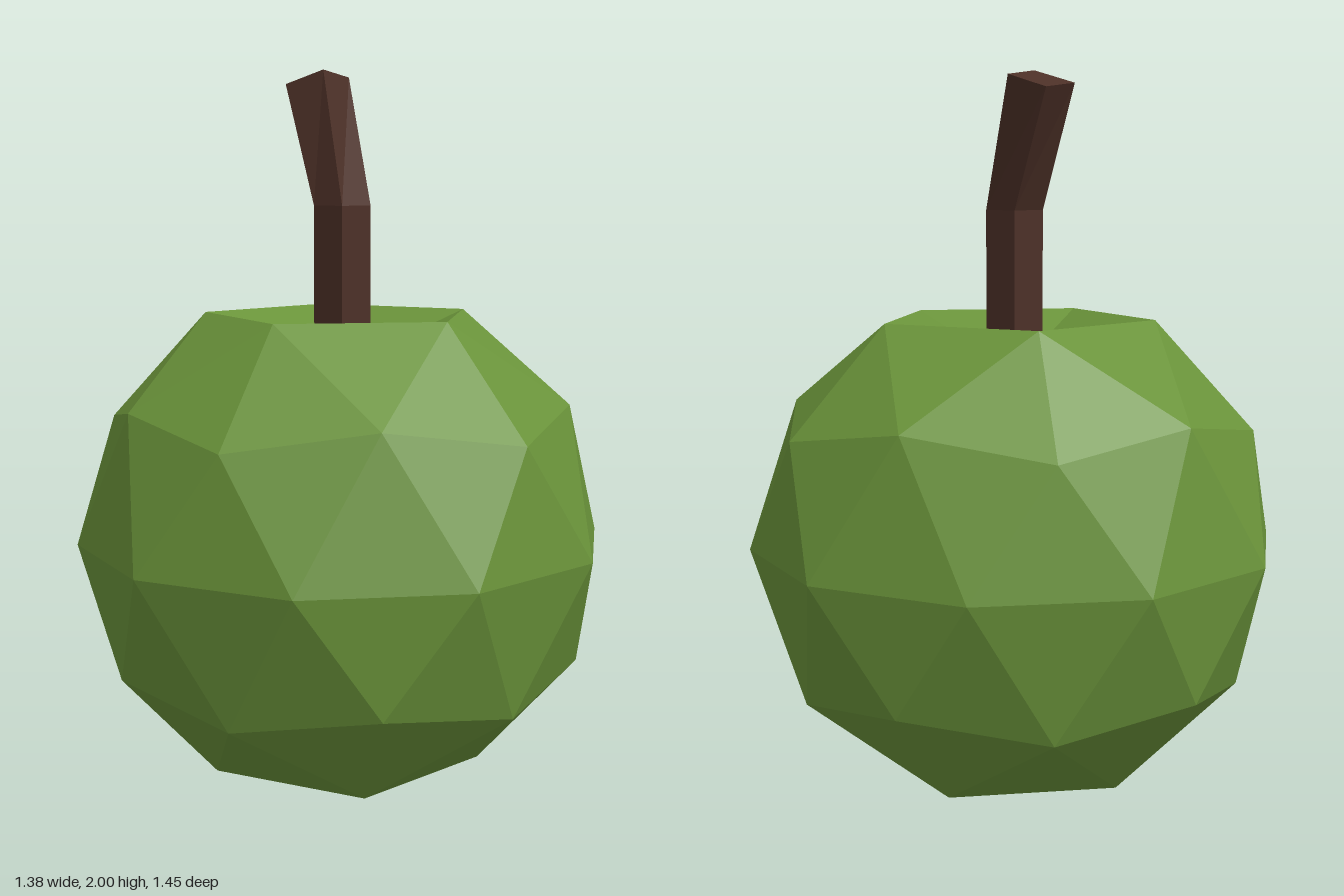
import * as THREE from 'three';

const RADIUS = 0.727;
const DENT_Y = 1.2;

// Faceted ball with one vertex straight up, its top pole pushed in as a dimple
function fruitGeometry() {
  const geo = new THREE.IcosahedronGeometry(RADIUS, 1);
  geo.rotateZ(-Math.atan(2 / (1 + Math.sqrt(5))));
  geo.translate(0, RADIUS, 0);
  const pos = geo.attributes.position;
  for (let i = 0; i < pos.count; i++) {
    if (pos.getY(i) > RADIUS * 1.95) pos.setXYZ(i, 0, DENT_Y, 0);
  }
  geo.computeVertexNormals();
  return geo;
}

// Closed skin over four-cornered cross-sections listed from bottom to top
function loftGeometry(sections) {
  const points = sections.flat();
  const index = [];
  for (let s = 0; s < sections.length - 1; s++) {
    for (let i = 0; i < 4; i++) {
      const a = s * 4 + i;
      const b = s * 4 + ((i + 1) % 4);
      index.push(a, b, b + 4, a, b + 4, a + 4);
    }
  }
  const t = (sections.length - 1) * 4;
  index.push(t, t + 1, t + 2, t, t + 2, t + 3); // top cap
  index.push(0, 2, 1, 0, 3, 2); // bottom cap
  const geo = new THREE.BufferGeometry();
  geo.setAttribute('position', new THREE.Float32BufferAttribute(points.flat(), 3));
  geo.setIndex(index);
  const flat = geo.toNonIndexed();
  flat.computeVertexNormals();
  return flat;
}

export function createModel() {
  const green = new THREE.MeshStandardMaterial({ color: 0x6a933a, flatShading: true });
  green.name = 'fruit green';
  const brown = new THREE.MeshStandardMaterial({ color: 0x4c3027, flatShading: true });
  brown.name = 'stem brown';

  const model = new THREE.Group();
  model.name = 'apple';

  const fruit = new THREE.Mesh(fruitGeometry(), green);
  fruit.name = 'fruit';
  model.add(fruit);

  // Square stem: upright at first, then bent to the right and back
  const h = 0.054;
  const square = (y) => [[-h, y, h], [h, y, h], [h, y, -h], [-h, y, -h]];
  const tip = [[-0.2, 1.965, 0.02], [-0.083, 2, -0.01], [-0.105, 1.985, -0.13], [-0.22, 1.95, -0.108]];
  const stem = new THREE.Mesh(loftGeometry([square(1.2), square(1.637), tip]), brown);
  stem.name = 'stem';
  model.add(stem);

  return model;
}
